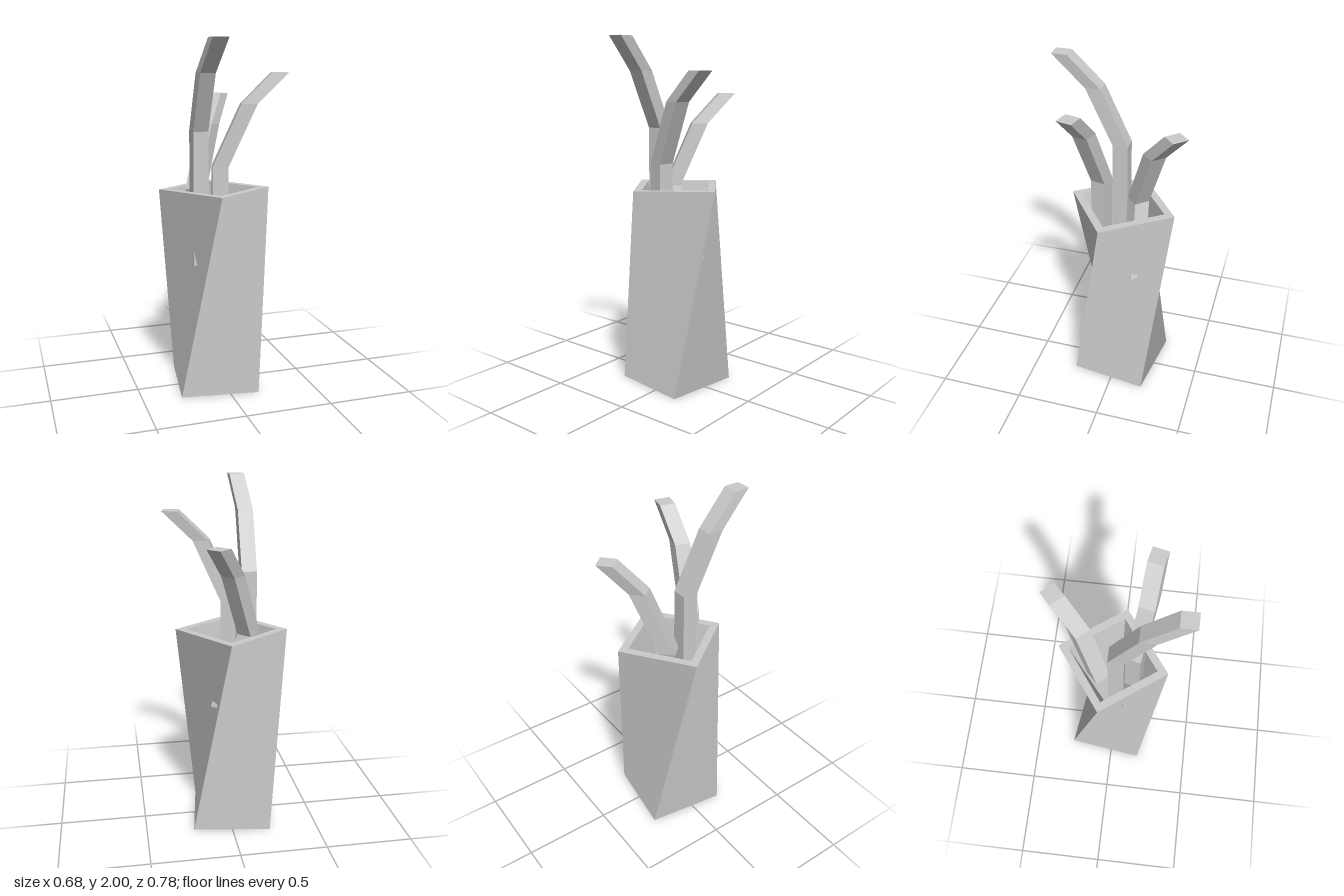
import * as THREE from 'three';

// Horizontal square: centre, half diagonal, angle of the first corner (degrees)
function square(x, y, z, r, deg) {
  return [0, 1, 2, 3].map((i) => {
    const a = THREE.MathUtils.degToRad(deg - 90 * i);
    return new THREE.Vector3(x + r * Math.cos(a), y, z + r * Math.sin(a));
  });
}

// Joins square sections in order and caps both ends; each quad gets one flat normal
function loft(name, sections, material) {
  const pos = [], nor = [];
  const quad = (a, b, c, d) => {
    const n = c.clone().sub(a).cross(d.clone().sub(b)).normalize();
    for (const p of [a, b, c, a, c, d]) {
      pos.push(p.x, p.y, p.z);
      nor.push(n.x, n.y, n.z);
    }
  };
  for (let s = 0; s < sections.length - 1; s++) {
    const lo = sections[s], hi = sections[s + 1];
    for (let i = 0; i < 4; i++) {
      const j = (i + 1) % 4;
      quad(lo[i], lo[j], hi[j], hi[i]);
    }
  }
  quad(...[...sections[0]].reverse());
  quad(...sections[sections.length - 1]);
  const g = new THREE.BufferGeometry();
  g.setAttribute('position', new THREE.Float32BufferAttribute(pos, 3));
  g.setAttribute('normal', new THREE.Float32BufferAttribute(nor, 3));
  const mesh = new THREE.Mesh(g, material);
  mesh.name = name;
  return mesh;
}

export function createModel() {
  const group = new THREE.Group();
  group.name = 'vaseWithStems';
  const grey = new THREE.MeshStandardMaterial({ color: 0xcccccc });

  // Twisted square vase: outer wall, rim, then tapering hollow down to a small floor
  const cx = -0.0275, cz = -0.01;
  group.add(loft('vase', [
    square(cx, 0, cz, 0.316, -127),
    square(cx, 1.17, cz, 0.3165, -171),
    square(cx, 1.17, cz, 0.2556, -171),
    square(cx, 0.12, cz, 0.047, -135),
  ], grey));

  // Bent stems: path points [x, y, z] from the hidden foot to the tip
  const stems = [
    { name: 'frontStem', r: 0.061, deg: -135,
      path: [[-0.127, 0.74, 0.021], [-0.127, 1.5, 0.021], [-0.13, 1.82, 0.173], [-0.112, 2, 0.347]] },
    { name: 'leftStem', r: 0.062, deg: -121.5,
      path: [[-0.033, 0.9, 0.113], [-0.033, 1.31, 0.113], [0.118, 1.655, 0.158], [0.287, 1.82, 0.178]] },
    { name: 'backStem', r: 0.064, deg: -178,
      path: [[0.042, 0.74, -0.1], [-0.115, 1.16, -0.08], [-0.005, 1.52, -0.193], [0.09, 1.69, -0.326]] },
  ];
  for (const { name, r, deg, path } of stems) {
    group.add(loft(name, path.map(([x, y, z]) => square(x, y, z, r, deg)), grey));
  }
  return group;
}
